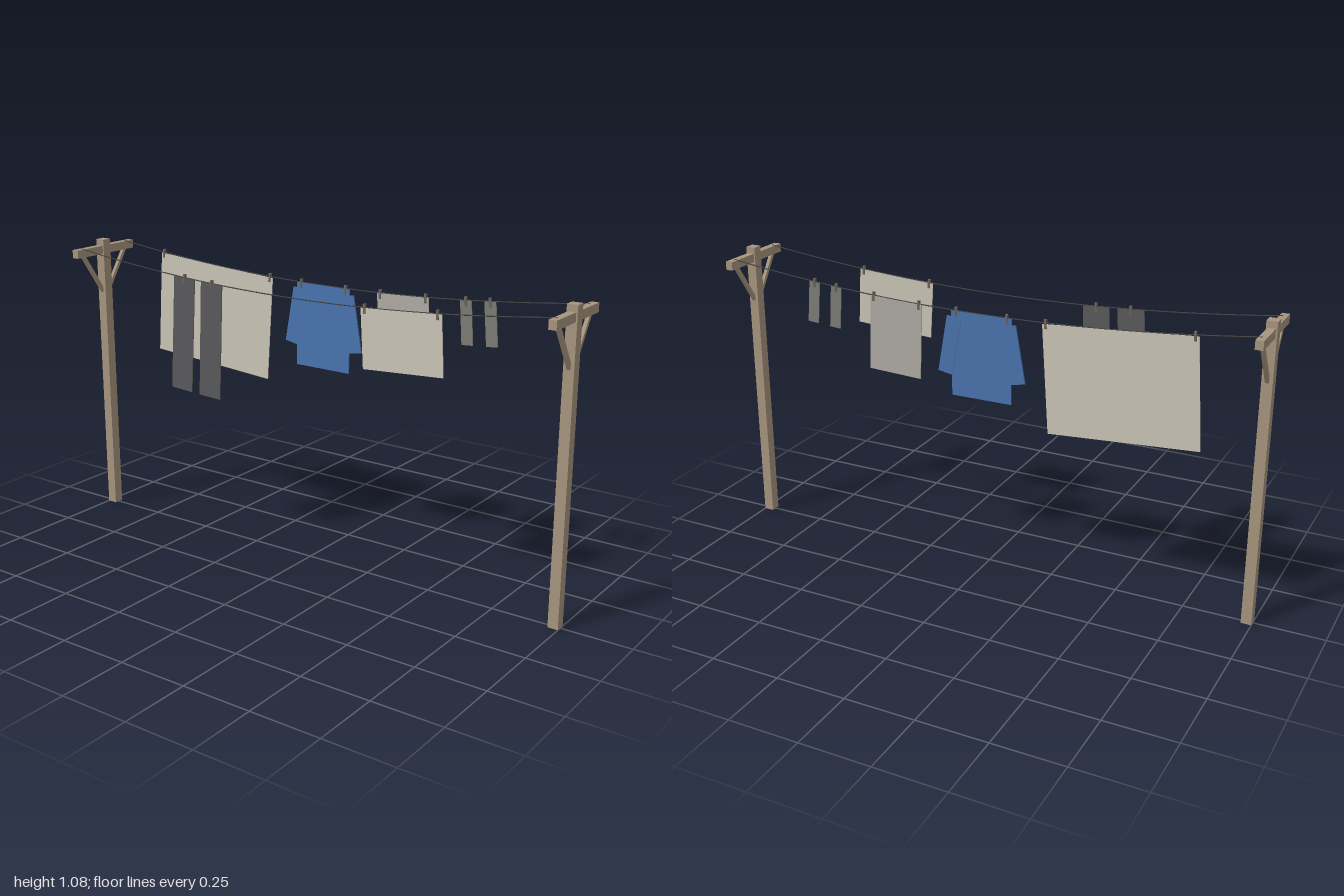
import * as THREE from 'three';

const POST_X = 0.9815, LINE_Z = 0.117, SAG = 0.065, LOW = 0.99;
const lineY = x => LOW + SAG * (x / POST_X) ** 2;
const lineAngle = x => Math.atan(2 * SAG * x / POST_X ** 2);

const material = color => new THREE.MeshStandardMaterial({ color, roughness: 0.9 });
const wood = material(0xa8957f), pegWood = material(0x6e665a), wire = material(0x444444);
const linen = material(0xcac5b6), greyCloth = material(0xb0aca4);
const dark = material(0x5a5a5c), sockCloth = material(0x7c7c77), blue = material(0x4a74b0);

function box(parent, name, mat, size, pos, rot = [0, 0, 0]) {
  const mesh = new THREE.Mesh(new THREE.BoxGeometry(...size), mat);
  mesh.name = name;
  mesh.position.set(...pos);
  mesh.rotation.set(...rot);
  parent.add(mesh);
  return mesh;
}

// Post with crossbar and two diagonal braces
function createPost(x) {
  const post = new THREE.Group();
  post.name = x < 0 ? 'rightPost' : 'leftPost';
  post.position.x = x;
  box(post, 'upright', wood, [0.037, 1.077, 0.037], [0, 0.5385, 0]);
  box(post, 'crossbar', wood, [0.027, 0.031, 0.302], [0, 1.0385, 0]);
  for (const s of [-1, 1]) {
    box(post, 'brace', wood, [0.013, 0.19, 0.013], [0, 0.95, s * 0.062], [s * 0.585, 0, 0]);
  }
  return post;
}

// Sagging line between the crossbars
function createLine(z) {
  const points = [];
  for (let i = 0; i <= 16; i++) {
    const x = POST_X * (i / 8 - 1);
    points.push(new THREE.Vector3(x, lineY(x), z));
  }
  const curve = new THREE.CatmullRomCurve3(points);
  const line = new THREE.Mesh(new THREE.TubeGeometry(curve, 48, 0.002, 6), wire);
  line.name = z > 0 ? 'frontLine' : 'backLine';
  return line;
}

// Group hanging from a line, tilted to its slope, with pegs at the given offsets
function hang(parent, name, x, z, pegs) {
  const item = new THREE.Group();
  item.name = name;
  item.position.set(x, lineY(x), z);
  item.rotation.z = lineAngle(x);
  for (const p of pegs) {
    const drop = lineY(x + p) - lineY(x) - p * Math.tan(lineAngle(x));
    box(item, 'peg', pegWood, [0.008, 0.032, 0.01], [p, drop - 0.004, 0]);
  }
  parent.add(item);
  return item;
}

function cloth(parent, name, mat, x, z, width, height, pegs) {
  const item = hang(parent, name, x, z, pegs);
  box(item, name + 'Cloth', mat, [width, height, 0.003], [0, -height / 2, 0]);
}

export function createModel() {
  const model = new THREE.Group();
  model.name = 'clothesline';

  for (const s of [-1, 1]) {
    model.add(createPost(s * POST_X), createLine(s * LINE_Z));
  }

  // Back line
  cloth(model, 'sheet', linen, -0.518, -LINE_Z, 0.535, 0.385, [-0.255, 0.255]);
  cloth(model, 'greyTowel', greyCloth, 0.302, -LINE_Z, 0.205, 0.272, [-0.09, 0.09]);
  for (const x of [0.545, 0.635]) {
    cloth(model, 'sock', sockCloth, x, -LINE_Z, 0.043, 0.152, [0]);
  }

  // Shirt with two slanted sleeves
  const shirt = hang(model, 'shirt', -0.027, -LINE_Z, [-0.095, 0.095]);
  box(shirt, 'shirtBody', blue, [0.226, 0.305, 0.004], [0, -0.153, 0]);
  for (const s of [-1, 1]) {
    box(shirt, 'sleeve', blue, [0.055, 0.205, 0.006], [s * 0.12, -0.126, -0.001], [0, 0, s * 0.175]);
  }

  // Front line
  for (const x of [-0.47, -0.345]) {
    cloth(model, 'trouserLeg', dark, x, LINE_Z, 0.096, 0.422, [0]);
  }
  cloth(model, 'lightTowel', linen, 0.438, LINE_Z, 0.305, 0.206, [-0.137, 0.137]);

  return model;
}
